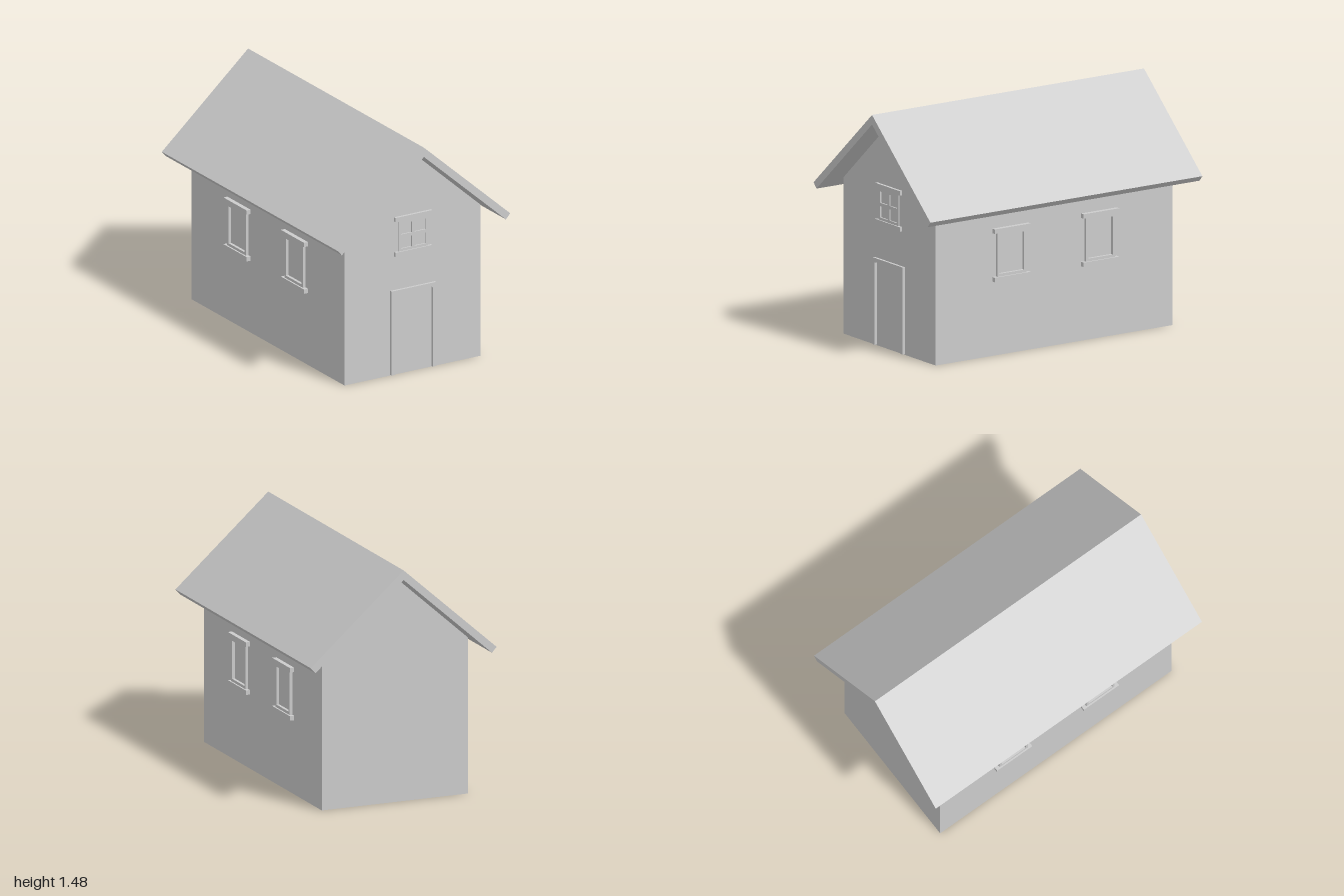
import * as THREE from 'three';

const material = new THREE.MeshStandardMaterial({ color: 0xcccccc, flatShading: true });

function polygon(points) {
  return new THREE.Shape(points.map(([x, y]) => new THREE.Vector2(x, y)));
}

function rectangle(x0, y0, x1, y1) {
  return polygon([[x0, y0], [x1, y0], [x1, y1], [x0, y1]]);
}

// Extrude a shape along z, from z to z + depth
function extruded(name, shape, z, depth) {
  const geometry = new THREE.ExtrudeGeometry(shape, { depth, bevelEnabled: false });
  const mesh = new THREE.Mesh(geometry.translate(0, 0, z), material);
  mesh.name = name;
  return mesh;
}

// Window facing +z with its back at z = 0, centred on x = 0; y runs between the two ledges
function createWindow(name, halfWidth, y0, y1, panes, frameDepth, ledgeDepth) {
  const group = new THREE.Group();
  group.name = name;
  const frame = rectangle(-halfWidth, y0, halfWidth, y1);
  panes.forEach((p) => frame.holes.push(rectangle(...p)));
  group.add(extruded('windowFrame', frame, 0, frameDepth));

  const ledge = halfWidth + 0.026, height = 0.028;
  group.add(extruded('windowSill', rectangle(-ledge, y0 - height, ledge, y0), 0, ledgeDepth));
  group.add(extruded('windowLintel', rectangle(-ledge, y1, ledge, y1 + height), 0, ledgeDepth));
  return group;
}

export function createModel() {
  const house = new THREE.Group();
  house.name = 'house';
  const wallX = 0.482, wallZ = 0.87;

  // Walls with gables
  const gable = polygon([[-wallX, 0], [wallX, 0], [wallX, 0.972], [0, 1.402], [-wallX, 0.972]]);
  house.add(extruded('walls', gable, -wallZ, 2 * wallZ));

  // Overhanging roof, two slabs meeting at the ridge
  const roof = polygon([
    [0, 1.475], [-0.612, 0.932], [-0.582, 0.898],
    [0, 1.415], [0.582, 0.898], [0.612, 0.932],
  ]);
  house.add(extruded('roof', roof, -1, 2));

  // Door surround, open at the bottom
  const surround = polygon([
    [-0.158, 0.004], [-0.134, 0.004], [-0.134, 0.514], [-0.128, 0.52],
    [0.128, 0.52], [0.134, 0.514], [0.134, 0.004], [0.158, 0.004],
    [0.158, 0.544], [-0.158, 0.544],
  ]);
  house.add(extruded('doorFrame', surround, wallZ, 0.016));

  // Front window with four panes
  const fourPanes = [];
  for (const x of [-0.088, 0.01]) {
    for (const y of [0.804, 0.895]) fourPanes.push([x, y, x + 0.078, y + 0.07]);
  }
  const frontWindow = createWindow('frontWindow', 0.104, 0.788, 0.984, fourPanes, 0.009, 0.017);
  frontWindow.position.z = wallZ;
  house.add(frontWindow);

  // Two single-pane windows on each long side
  for (const side of [-1, 1]) {
    for (const z of [0.322, -0.33]) {
      const pane = [[-0.09, 0.507, 0.09, 0.744]];
      const win = createWindow(side > 0 ? 'leftWindow' : 'rightWindow', 0.106, 0.49, 0.762, pane, 0.018, 0.028);
      win.position.set(side * wallX, 0, z);
      win.rotation.y = side * Math.PI / 2;
      house.add(win);
    }
  }
  return house;
}
